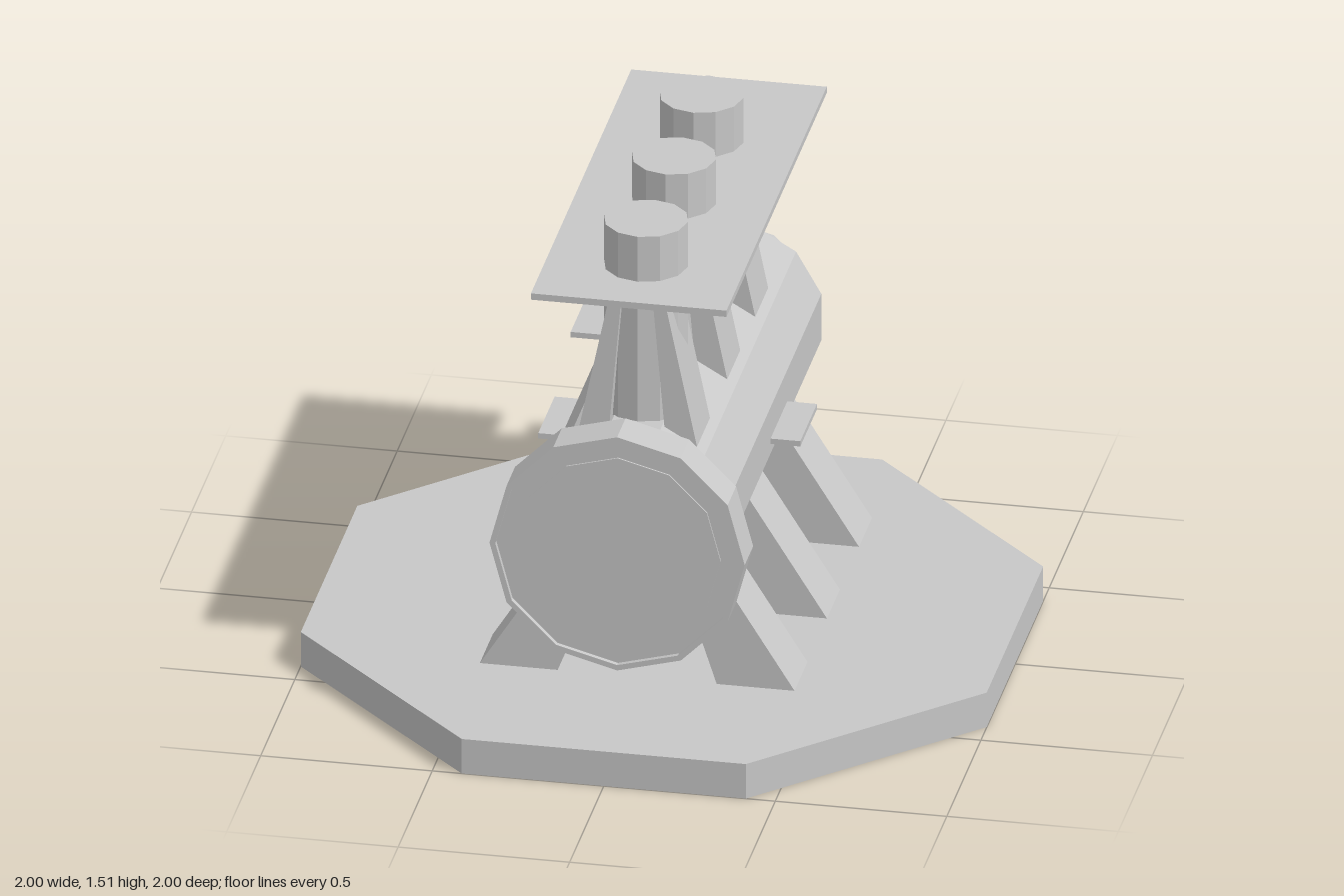
import * as THREE from 'three';

export function createModel() {
  const model = new THREE.Group();
  const grey = new THREE.MeshStandardMaterial({ color: 0xc8c8c8, flatShading: true });
  grey.name = 'plain grey';

  const add = (name, geometry, x = 0, y = 0, z = 0) => {
    const mesh = new THREE.Mesh(geometry, grey);
    mesh.name = name;
    mesh.position.set(x, y, z);
    model.add(mesh);
    return mesh;
  };
  // Box given by its limits on each axis
  const slab = (name, x0, x1, y0, y1, z0, z1) =>
    add(name, new THREE.BoxGeometry(x1 - x0, y1 - y0, z1 - z0),
      (x0 + x1) / 2, (y0 + y1) / 2, (z0 + z1) / 2);
  // Four-cornered outline in x and y, extruded along z and mirrored to both sides
  const strutPair = (name, corners, z, depth) => {
    for (const side of [1, -1]) {
      const shape = new THREE.Shape(corners.map(([x, y]) => new THREE.Vector2(side * x, y)));
      const geometry = new THREE.ExtrudeGeometry(shape, { depth, bevelEnabled: false });
      add((side > 0 ? 'left ' : 'right ') + name, geometry, 0, 0, z - depth / 2);
    }
  };
  // End cap with a thin rim around a shallow recess, facing +z (dir 1) or -z (dir -1)
  const endCap = (name, r, inner, length, recess, z, dir) => {
    const profile = [[0, 0], [r, 0], [r, length], [inner, length],
      [inner, length - recess], [0, length - recess]].map(p => new THREE.Vector2(...p));
    const geometry = new THREE.LatheGeometry(profile, 12).rotateX(dir * Math.PI / 2);
    return add(name, geometry, 0, axisY, z);
  };
  const axisY = 0.646;

  // Octagonal base
  add('base', new THREE.CylinderGeometry(1.082, 1.082, 0.11, 8, 1, false, Math.PI / 8), 0, 0.055, 0);

  // Twelve-sided barrel with a flat on top
  const barrel = new THREE.CylinderGeometry(0.285, 0.285, 1.5, 12, 1, false, Math.PI / 12);
  add('barrel', barrel.rotateX(Math.PI / 2), 0, axisY, -0.055);

  // End caps
  endCap('front cap', 0.372, 0.355, 0.125, 0.015, 0.68, 1);
  const disc = new THREE.CylinderGeometry(0.3, 0.3, 0.01, 12).rotateX(Math.PI / 2);
  add('front disc', disc, 0, axisY, 0.79);
  endCap('back cap', 0.248, 0.225, 0.07, 0.015, -0.8, -1);

  // Legs under the barrel
  for (const z of [0.415, -0.06, -0.53]) {
    strutPair('leg', [[0.235, 0.1], [0.465, 0.1], [0.143, 0.61], [0.068, 0.61]], z, 0.19);
  }

  // Upright pipes and the sloping braces beside them
  for (const z of [0.38, -0.03, -0.435]) {
    add('pipe', new THREE.CylinderGeometry(0.122, 0.122, 0.71, 12), 0, 1.155, z);
  }
  for (const z of [0.418, -0.025, -0.435]) {
    strutPair('brace', [[0.09, 0.8], [0.188, 0.8], [0.072, 1.36], [0.042, 1.36]], z, 0.19);
  }

  // Thin plate around the pipes
  slab('top plate', -0.285, 0.285, 1.347, 1.367, -0.835, 0.635);

  // Small shelves on the barrel and the back cap
  slab('left shelf', 0.2, 0.362, 0.603, 0.62, -0.305, -0.06);
  slab('right front shelf', -0.383, -0.2, 0.603, 0.62, -0.205, 0.035);
  slab('right back shelf', -0.383, -0.2, 0.695, 0.712, -0.68, -0.44);
  slab('back shelf', -0.1, 0.145, 0.718, 0.734, -1, -0.83);

  return model;
}
